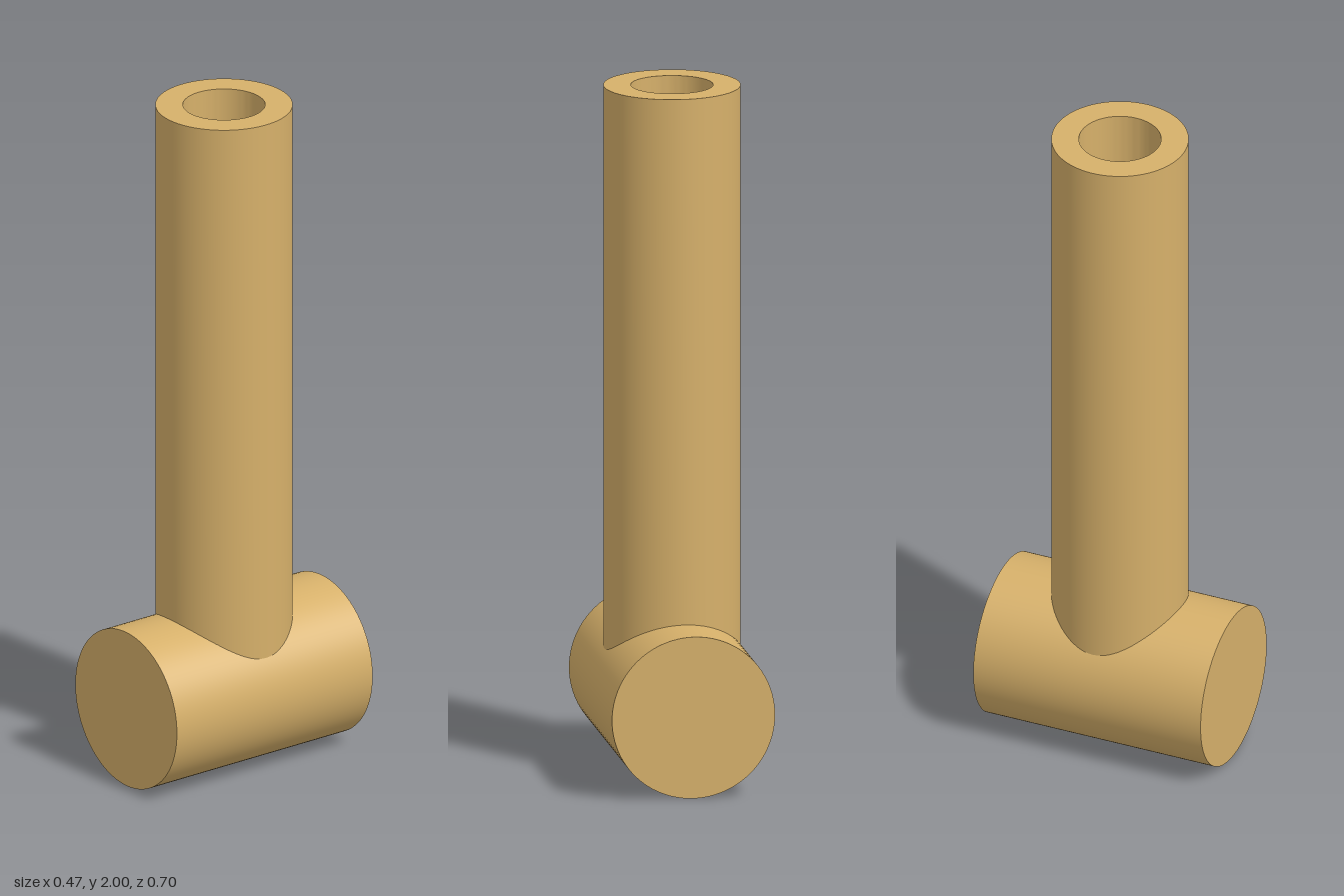
import * as THREE from 'three';
import { toCreasedNormals } from 'three/addons/utils/BufferGeometryUtils.js';

const BAR_R = 0.235, BAR_LENGTH = 0.704;
const TUBE_R = 0.195, BORE_R = 0.117, TOP = 2;
const SEGMENTS = 96;

export function createModel() {
  const model = new THREE.Group();
  const material = new THREE.MeshStandardMaterial({ color: 0xd6b06a });

  const add = (name, geometry) => {
    const mesh = new THREE.Mesh(geometry, material);
    mesh.name = name;
    model.add(mesh);
    return mesh;
  };

  // Solid crossbar lying along z
  const bar = add('crossbar', new THREE.CylinderGeometry(BAR_R, BAR_R, BAR_LENGTH, SEGMENTS));
  bar.rotation.x = Math.PI / 2;
  bar.position.y = BAR_R;

  // Hollow upright: outer wall, top rim, bore
  const profile = [[TUBE_R, 0], [TUBE_R, TOP], [BORE_R, TOP], [BORE_R, 0]]
    .map(([r, y]) => new THREE.Vector2(r, y));
  const tube = new THREE.LatheGeometry(profile, SEGMENTS);

  // Saddle-cut the lower edges so they seat just inside the crossbar
  const pos = tube.attributes.position;
  for (let i = 0; i < pos.count; i++) {
    if (pos.getY(i) > 0) continue;
    const x = pos.getX(i);
    pos.setY(i, BAR_R + Math.sqrt(BAR_R ** 2 - x ** 2) - 0.005);
  }
  add('uprightTube', toCreasedNormals(tube, 0.6));

  return model;
}
